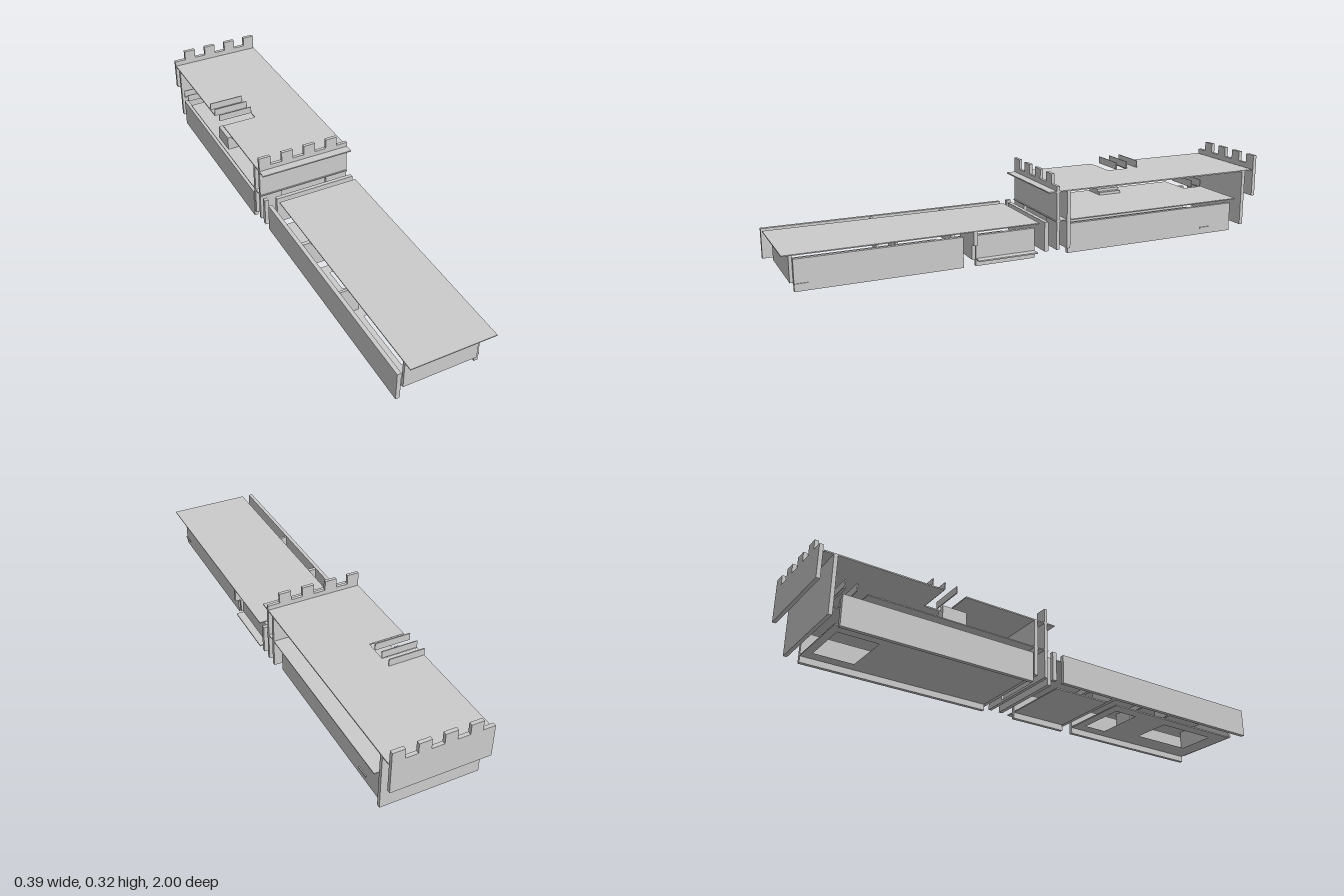
import * as THREE from 'three';

const material = new THREE.MeshStandardMaterial({ color: 0xcccccc, flatShading: true });

// Outline in the given plane, turned into a Path or Shape
const trace = (target, points) => {
  points.forEach(([a, b], i) => (i ? target.lineTo(a, b) : target.moveTo(a, b)));
  target.closePath();
  return target;
};
const rect = (a0, a1, b0, b1) => [[a0, b0], [a1, b0], [a1, b1], [a0, b1]];

function extrude(points, holes, depth) {
  const shape = trace(new THREE.Shape(), points);
  holes.forEach((h) => shape.holes.push(trace(new THREE.Path(), h)));
  return new THREE.ExtrudeGeometry(shape, { depth, bevelEnabled: false });
}

export function createModel() {
  const group = new THREE.Group();

  const add = (name, geometry) => {
    const mesh = new THREE.Mesh(geometry, material);
    mesh.name = name;
    group.add(mesh);
  };
  const box = (name, x0, x1, y0, y1, z0, z1) => add(name,
    new THREE.BoxGeometry(x1 - x0, y1 - y0, z1 - z0)
      .translate((x0 + x1) / 2, (y0 + y1) / 2, (z0 + z1) / 2));
  // Upright sheet across the building, outline in x and y
  const panel = (name, points, z0, z1, holes = []) =>
    add(name, extrude(points, holes, z1 - z0).translate(0, 0, z0));
  // Flat sheet, outline in x and z
  const slab = (name, points, y0, y1, holes = []) => {
    const flip = (list) => list.map(([x, z]) => [x, -z]);
    add(name, extrude(flip(points), holes.map(flip), y1 - y0)
      .rotateX(-Math.PI / 2).translate(0, y0, 0));
  };

  const L = -0.196, R = 0.194; // outer sides
  const W = 0.147, T = 0.162;  // side wall planes
  const cell = (R - L) / 8;

  // Battlement outline: eight cells, alternately merlon and gap
  const battlement = (bottom, phase) => {
    const pts = [[R, bottom], [L, bottom]].reverse();
    for (let i = 7; i >= 0; i--) {
      const y = i % 2 === phase ? 0.323 : 0.283;
      pts.push([L + (i + 1) * cell, y], [L + i * cell, y]);
    }
    return pts;
  };

  // ---- Low front wing ----
  slab('frontWingRoof', rect(-W, R, 0.02, 1), 0.143, 0.147);
  box('frontWingLongWall', L, -0.18, 0.03, 0.147, 0.02, 1);
  box('frontWingSideWallA', W, T, 0, 0.12, 0.32, 0.955);
  box('frontWingSideWallB', W, T, 0, 0.12, 0.025, 0.27);
  box('frontWingEndPanel', -W, W, 0.03, 0.143, 0.955, 0.967);
  panel('frontWingCrossPanel', [[-0.18, 0.03], [0.17, 0.03], [0.17, 0.09], [R, 0.09], [R, 0.143], [-0.18, 0.143]],
    0.275, 0.29, [rect(-0.05, 0.05, 0.04, 0.12)]);
  panel('frontWingMiddlePanel', [[-0.18, 0.03], [-0.1, 0.03], [-0.1, 0.12], [0.06, 0.12], [0.06, 0.03],
    [W, 0.03], [W, 0.143], [-0.18, 0.143]], 0.57, 0.58);
  slab('frontWingFloor', rect(-W, W, 0.32, 0.955), 0.025, 0.03,
    [rect(-0.1, 0.06, 0.62, 0.88), rect(-0.1, 0.1, 0.36, 0.46)]);
  slab('frontWingBackFloor', rect(-W, R, 0.025, 0.27), 0.025, 0.03);
  box('frontWingFloorTab', W, T + 0.004, 0.025, 0.03, 0.905, 0.955);

  // ---- Joint between the wings ----
  box('gatePanel', -W, R, 0.03, 0.147, -0.019, -0.003);
  box('gatePost', L, -0.18, 0.03, 0.148, -0.03, -0.012);

  // ---- Tall rear hall ----
  panel('frontBattlement', battlement(0.03, 0), -0.068, -0.055, [rect(-0.1, 0.1, 0.04, 0.14)]);
  panel('backBattlement', battlement(0.15, 1), -1, -0.985);
  box('hallFrontPanel', L, R, 0.03, 0.26, -0.115, -0.1);
  box('hallBackPanel', L, R, 0.03, 0.26, -0.945, -0.93);
  for (const [name, x0, x1] of [['hallLongWall', L, -0.18], ['hallSideWall', W, T]])
    box(name, x0, x1, 0, 0.12, -0.9, -0.12);
  slab('hallFloor', rect(-W, W, -0.9, -0.12), 0.025, 0.03, [rect(-0.1, 0.1, -0.87, -0.71)]);
  box('hallFloorTab', W, T + 0.004, 0.025, 0.03, -0.8, -0.75);

  // Floors with a stair opening cut into the left edge
  const notched = (zBack, zFront, a, b) => [[L, zBack], [R, zBack], [R, zFront], [L, zFront],
    [L, b], [-0.05, b], [-0.05, a], [L, a]];
  slab('upperFloor', notched(-0.9, -0.05, -0.89, -0.81), 0.143, 0.147);
  slab('hallRoof', notched(-0.98, -0.02, -0.515, -0.422), 0.259, 0.264);

  // Rails beside the openings
  for (const z of [-0.462, -0.512, -0.562]) box('roofRail', L, -0.05, 0.264, 0.293, z - 0.002, z + 0.002);
  for (const z of [-0.85, -0.895]) box('upperFloorRail', L, -0.05, 0.147, 0.177, z - 0.002, z + 0.002);

  // Stairs rising toward the long wall
  for (let i = 0; i < 5; i++)
    box('stairStep', -0.183, -0.096 - i * 0.017, 0.147 + i * 0.0115, 0.1585 + i * 0.0115, -0.51, -0.41);

  return group;
}
